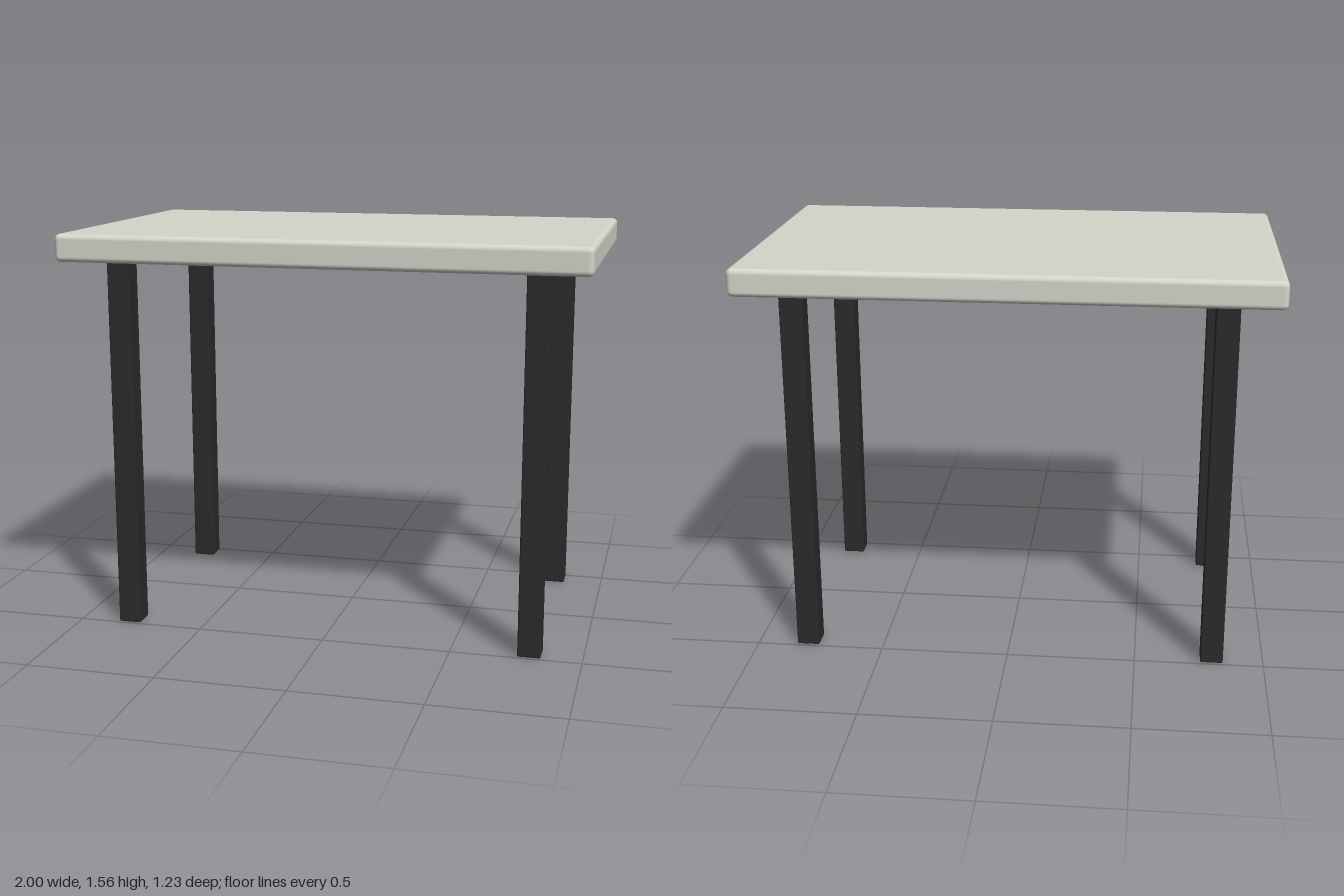
import * as THREE from 'three';
import { RoundedBoxGeometry } from 'three/addons/geometries/RoundedBoxGeometry.js';

export function createModel() {
  const model = new THREE.Group();
  model.name = 'table';

  const stone = new THREE.MeshStandardMaterial({ color: 0xd6d5cb });
  stone.name = 'pale stone';
  const black = new THREE.MeshStandardMaterial({ color: 0x2b2b2b });
  black.name = 'black metal';

  const legHeight = 1.453;
  const topThickness = 0.105;

  // Slab with softly rounded edges
  const top = new THREE.Mesh(new RoundedBoxGeometry(2, topThickness, 1.23, 4, 0.02), stone);
  top.name = 'tableTop';
  top.position.y = legHeight + topThickness / 2;
  model.add(top);

  // Four square legs, set in from the corners
  const legGeometry = new RoundedBoxGeometry(0.088, legHeight, 0.088, 2, 0.005);
  for (const [endName, sz] of [['front', 1], ['back', -1]]) {
    for (const [sideName, sx] of [['Left', 1], ['Right', -1]]) {
      const leg = new THREE.Mesh(legGeometry, black);
      leg.name = `${endName}${sideName}Leg`;
      leg.position.set(sx * 0.8, legHeight / 2, sz * 0.446);
      model.add(leg);
    }
  }

  return model;
}
